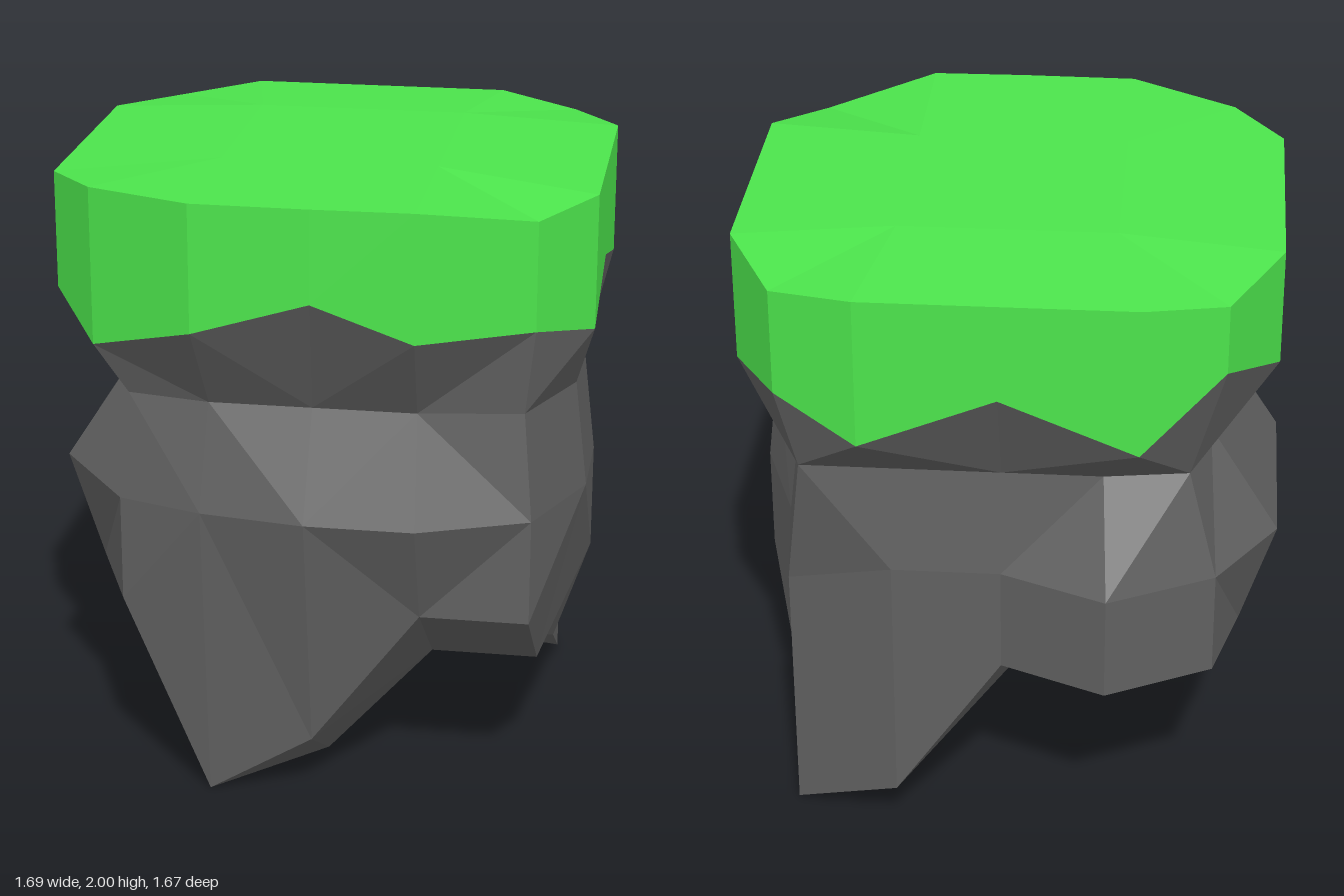
import * as THREE from 'three';

// Every ring has 16 points, counter-clockwise from above, starting at the front.
const RIM = [
  [-.33, .83], [.03, .835], [.34, .83], [.68, .65], [.84, .44], [.84, .03], [.84, -.39], [.68, -.70],
  [.42, -.81], [0, -.81], [-.42, -.81], [-.67, -.70], [-.83, -.39], [-.83, .03], [-.83, .44], [-.67, .65],
];
const NECK = [
  [-.31, .67], [.01, .67], [.33, .67], [.65, .62], [.78, .31], [.78, -.02], [.66, -.34], [.62, -.66],
  [.33, -.66], [0, -.66], [-.31, -.66], [-.57, -.62], [-.63, -.34], [-.63, -.02], [-.63, .31], [-.57, .62],
];
const WAIST = [
  [-.33, .74], [0, .79], [.34, .79], [.68, .65], [.82, .31], [.82, -.02], [.70, -.36], [.68, -.58],
  [.34, -.70], [0, -.70], [-.33, -.84], [-.66, -.67], [-.85, -.37], [-.85, -.02], [-.85, .31], [-.60, .65],
];
const FOOT = [
  [-.33, .65], [0, .65], [.34, .65], [.68, .65], [.68, .31], [.82, -.02], [.68, -.36], [.68, -.58],
  [.34, -.70], [0, -.70], [-.33, -.84], [-.66, -.67], [-.74, -.37], [-.74, -.02], [-.74, .31], [-.60, .65],
];

// Uneven heights: turf's upper edge, its ragged hem, the rock's waist and feet
const TURF_TOP = [2, 2, 2, 1.94, 1.97, 1.97, 1.97, 1.94, 1.97, 1.97, 1.97, 1.94, 1.97, 1.97, 1.97, 1.985];
const TURF_HEM = [1.6, 1.71, 1.6, 1.6, 1.55, 1.66, 1.55, 1.6, 1.49, 1.66, 1.49, 1.72, 1.6, 1.49, 1.6, 1.49];
const NECK_Y = Array(16).fill(1.33);
const WAIST_Y = NECK_Y.map((_, i) => (i === 7 ? .87 : .99));
const FOOT_Y = [0, .2, .65, .65, .38, .65, .15, .01, .15, .65, .65, .65, .65, .65, .65, .65];

const ringAt = (outline, heights) => outline.map(([x, z], i) => new THREE.Vector3(x, heights[i], z));

// Four-sided face, corners counter-clockwise, folded along its shorter diagonal
function addQuad(out, a, b, c, d) {
  const corners = a.distanceTo(c) < b.distanceTo(d) ? [a, b, c, a, c, d] : [a, b, d, b, c, d];
  for (const p of corners) out.push(p.x, p.y, p.z);
}

// Wall between two rings
function addBand(out, upper, lower) {
  upper.forEach((a, i) => {
    const j = (i + 1) % upper.length;
    addQuad(out, a, lower[i], lower[j], upper[j]);
  });
}

// Cap made of a 5 x 5 grid: the ring is its border, n holds the 3 x 3 middle points
function addCap(out, r, n, facesUp) {
  const grid = [
    [r[15], r[0], r[1], r[2], r[3]],
    [r[14], n[0], n[1], n[2], r[4]],
    [r[13], n[3], n[4], n[5], r[5]],
    [r[12], n[6], n[7], n[8], r[6]],
    [r[11], r[10], r[9], r[8], r[7]],
  ];
  for (let i = 0; i < 4; i++) {
    for (let j = 0; j < 4; j++) {
      const quad = [grid[i][j], grid[i][j + 1], grid[i + 1][j + 1], grid[i + 1][j]];
      addQuad(out, ...(facesUp ? quad : quad.reverse()));
    }
  }
}

// Middle points of a cap, front row to back row
function innerPoints(heights) {
  const xs = [-.33, 0, .34];
  const zs = [.31, -.02, -.36];
  return heights.map((y, i) => new THREE.Vector3(xs[i % 3], y, zs[Math.floor(i / 3)]));
}

function facetedMesh(name, positions, color) {
  const geometry = new THREE.BufferGeometry();
  geometry.setAttribute('position', new THREE.Float32BufferAttribute(positions, 3));
  geometry.computeVertexNormals();
  const mesh = new THREE.Mesh(geometry, new THREE.MeshStandardMaterial({ color, flatShading: true }));
  mesh.name = name;
  return mesh;
}

export function createModel() {
  const group = new THREE.Group();
  group.name = 'grassyRock';

  const top = ringAt(RIM, TURF_TOP);
  const hem = ringAt(RIM, TURF_HEM);
  const neck = ringAt(NECK, NECK_Y);
  const waist = ringAt(WAIST, WAIST_Y);
  const foot = ringAt(FOOT, FOOT_Y);

  // Grass slab with a zigzag hem
  const turf = [];
  addBand(turf, top, hem);
  addCap(turf, top, innerPoints(Array(9).fill(2)), true);
  group.add(facetedMesh('grassTop', turf, 0x4ce44c));

  // Rock: pinched neck, bulging waist, two pointed feet with an arch between them
  const rock = [];
  addBand(rock, hem, neck);
  addBand(rock, neck, waist);
  addBand(rock, waist, foot);
  addCap(rock, foot, innerPoints([0, 0, .38, .41, .41, .65, .41, .41, .15]), false);
  group.add(facetedMesh('rockBody', rock, 0x606060));

  return group;
}
